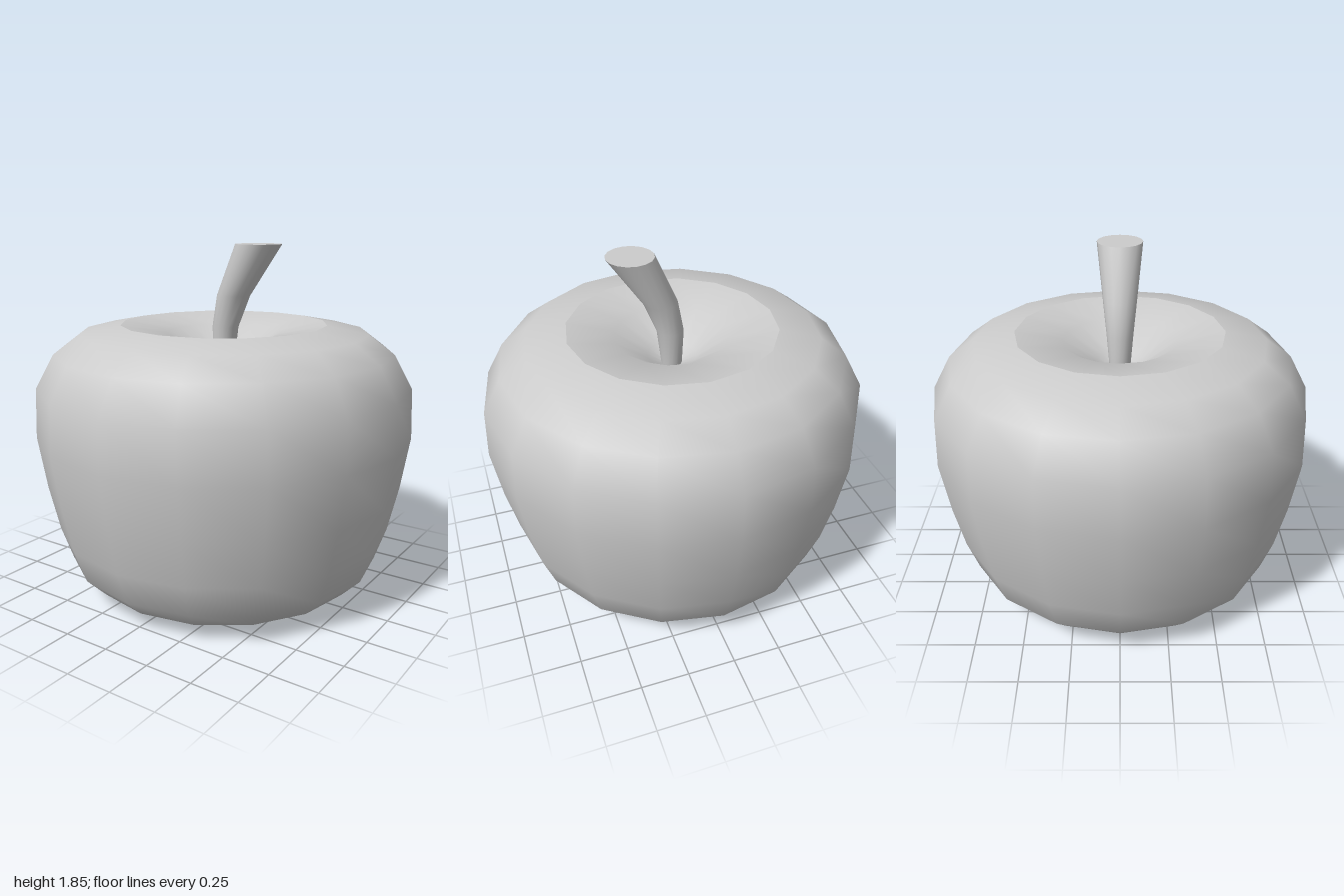
import * as THREE from 'three';
import { toCreasedNormals } from 'three/addons/utils/BufferGeometryUtils.js';

const SIDES = 16;

export function createModel() {
  const group = new THREE.Group();
  group.name = 'apple';
  const material = new THREE.MeshStandardMaterial({ color: 0xcccccc });

  const add = (name, geometry) => {
    const mesh = new THREE.Mesh(geometry, material);
    mesh.name = name;
    group.add(mesh);
  };
  const lathe = (profile) =>
    new THREE.LatheGeometry(profile.map(([r, y]) => new THREE.Vector2(r, y)), SIDES);

  // Body: from the hollow underneath, round the outside, up to the rim on top
  add('body', lathe([
    [0, 0.17], [0.09, 0.14], [0.2, 0.07], [0.4, 0], [0.62, 0.01], [0.74, 0.07],
    [0.84, 0.17], [0.9, 0.34], [0.955, 0.58], [1, 0.86], [0.99, 1.12],
    [0.895, 1.295], [0.76, 1.395], [0.545, 1.437],
  ]));

  // Hollow around the stem, with a sharp rim
  add('topHollow', lathe([[0.545, 1.437], [0.3, 1.39], [0.13, 1.27], [0, 1.2]]));

  // Stem: level rings that lean to +x and widen upward, as [y, x, radius]
  const rings = [[1.18, 0, 0.05], [1.42, 0.01, 0.07], [1.585, 0.06, 0.088], [1.85, 0.21, 0.12]];
  const stem = new THREE.CylinderGeometry(1, 1, 3, SIDES, 3);
  const p = stem.attributes.position;
  for (let i = 0; i < p.count; i++) {
    const [y, x, r] = rings[Math.round(p.getY(i) + 1.5)];
    p.setXYZ(i, x + p.getX(i) * r, y, p.getZ(i) * r);
  }
  add('stem', toCreasedNormals(stem, 0.8));

  return group;
}
